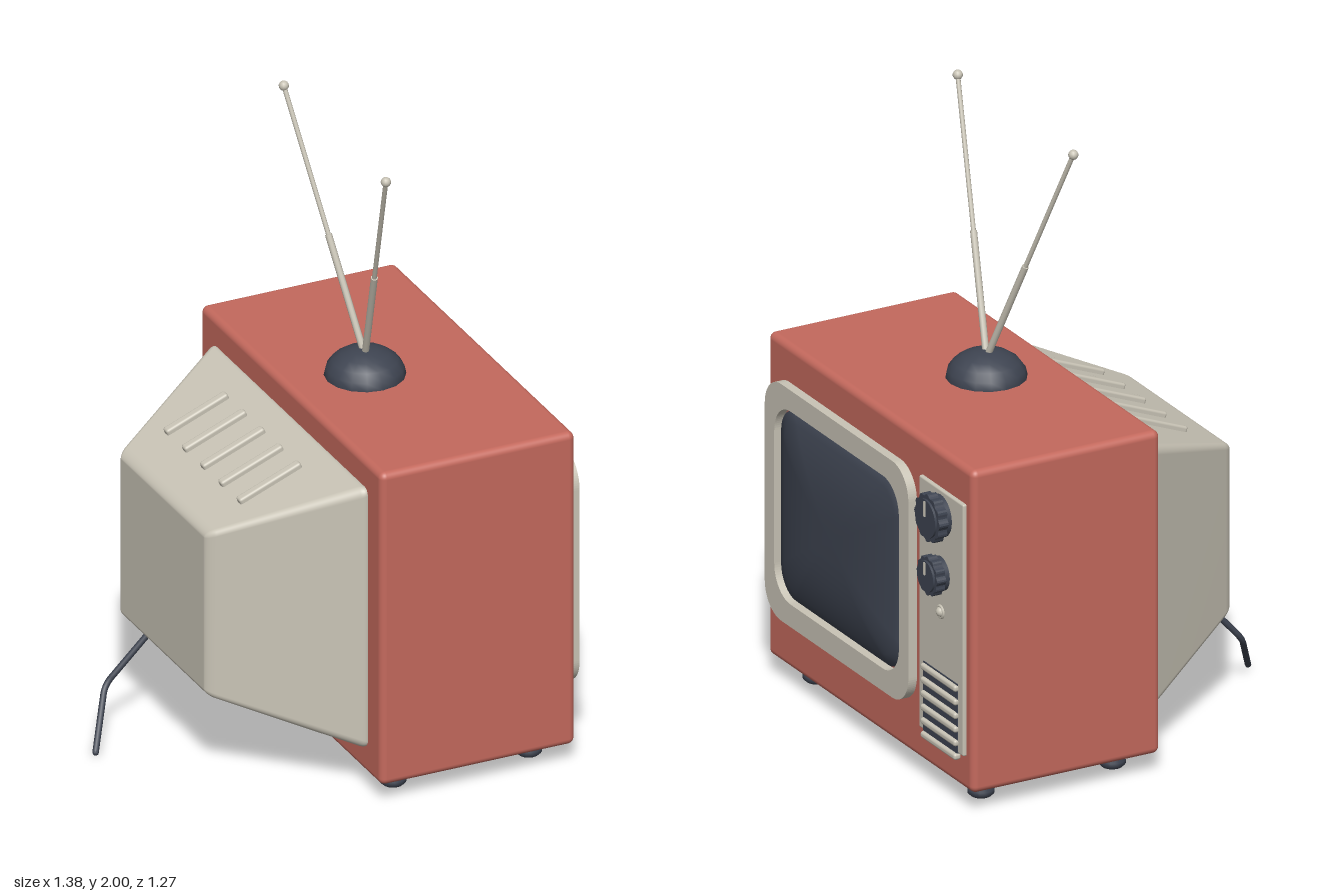
import * as THREE from 'three';
import { mergeVertices } from 'three/addons/utils/BufferGeometryUtils.js';
import { RoundedBoxGeometry } from 'three/addons/geometries/RoundedBoxGeometry.js';

const material = (name, color) => {
  const m = new THREE.MeshStandardMaterial({ color });
  m.name = name;
  return m;
};

// Rounded rectangle outline centred on (cx, cy)
function roundedRect(cx, cy, w, h, r, Type = THREE.Shape) {
  const s = new Type(), x = w / 2 - r, y = h / 2 - r;
  s.absarc(cx + x, cy + y, r, 0, Math.PI / 2);
  s.absarc(cx - x, cy + y, r, Math.PI / 2, Math.PI);
  s.absarc(cx - x, cy - y, r, Math.PI, Math.PI * 1.5);
  s.absarc(cx + x, cy - y, r, Math.PI * 1.5, Math.PI * 2);
  s.closePath();
  return s;
}

// Bulging glass: concentric rounded loops that rise towards the middle
function screenGeometry(cx, cy, w, h, r) {
  const outline = roundedRect(0, 0, w, h, r).getPoints(8);
  const n = outline.length, rings = 10, pos = [], idx = [];
  for (let k = 0; k <= rings + 1; k++) {
    const s = Math.min(k / rings, 1);
    const z = k > rings ? 0.6 : 0.625 + 0.043 * (1 - s ** 3);
    for (const p of outline) pos.push(cx + p.x * s, cy + p.y * s, z);
  }
  for (let k = 0; k <= rings; k++) {
    for (let i = 0; i < n; i++) {
      const j = (i + 1) % n, a = k * n + i, b = k * n + j, c = a + n, d = b + n;
      idx.push(a, c, d, a, d, b);
    }
  }
  const g = new THREE.BufferGeometry();
  g.setAttribute('position', new THREE.Float32BufferAttribute(pos, 3));
  g.setIndex(idx);
  const merged = mergeVertices(g);
  merged.computeVertexNormals();
  return merged;
}

// Back housing: rounded box tapered towards the rear
function housingGeometry() {
  let g = new RoundedBoxGeometry(0.445, 0.91, 1.11, 4, 0.03);
  const p = g.attributes.position;
  for (let i = 0; i < p.count; i++) {
    const t = (0.2225 - p.getX(i)) / 0.445;
    p.setY(i, p.getY(i) * (1 - 0.39 * t));
    p.setZ(i, p.getZ(i) * (1 - 0.45 * t));
  }
  g.deleteAttribute('normal');
  g.deleteAttribute('uv');
  g = mergeVertices(g);
  g.computeVertexNormals();
  return g;
}

export function createModel() {
  const root = new THREE.Group();
  root.name = 'television';
  const red = material('cabinetRed', 0xc4695d);
  const cream = material('cream', 0xc9c4b6);
  const dark = material('charcoal', 0x3e4451);

  const add = (parent, name, geo, mat, x = 0, y = 0, z = 0) => {
    const m = new THREE.Mesh(geo, mat);
    m.name = name;
    m.position.set(x, y, z);
    parent.add(m);
    return m;
  };
  const rod = (parent, name, a, b, r, mat) => {
    const dir = b.clone().sub(a);
    const m = add(parent, name, new THREE.CylinderGeometry(r, r, dir.length(), 10), mat);
    m.position.copy(a).addScaledVector(dir, 0.5);
    m.quaternion.setFromUnitVectors(new THREE.Vector3(0, 1, 0), dir.normalize());
    return m;
  };

  // Cabinet and rear housing
  add(root, 'cabinet', new RoundedBoxGeometry(0.66, 1.07, 1.27, 4, 0.022), red, 0.285, 0.605, 0);
  add(root, 'backHousing', housingGeometry(), cream, -0.2575, 0.605, 0);

  // Raised vents along the sloping top of the housing
  for (let i = -2; i <= 2; i++) {
    const v = add(root, 'vent', new RoundedBoxGeometry(0.225, 0.03, 0.03, 2, 0.008), cream,
      -0.24, 0.981, i * 0.128);
    v.rotation.z = Math.atan(0.4);
  }

  // Feet
  const foot = new THREE.LatheGeometry(
    [[0, 0], [0.032, 0], [0.042, 0.01], [0.042, 0.022], [0.028, 0.064], [0.028, 0.08]]
      .map(([x, y]) => new THREE.Vector2(x, y)), 20);
  for (const x of [0.055, 0.515]) {
    for (const z of [-0.51, 0.51]) add(root, 'foot', foot, dark, x, 0.005, z);
  }

  // Power cord
  const cord = new THREE.CurvePath();
  const V = (x, y, z) => new THREE.Vector3(x, y, z);
  cord.add(new THREE.LineCurve3(V(-0.42, 0.36, -0.15), V(-0.565, 0.195, -0.173)));
  cord.add(new THREE.QuadraticBezierCurve3(V(-0.565, 0.195, -0.173), V(-0.588, 0.168, -0.18), V(-0.602, 0.145, -0.16)));
  cord.add(new THREE.LineCurve3(V(-0.602, 0.145, -0.16), V(-0.682, 0.015, -0.05)));
  add(root, 'powerCord', new THREE.TubeGeometry(cord, 40, 0.01, 8), dark);
  add(root, 'cordEnd', new THREE.SphereGeometry(0.01, 8, 6), dark, -0.682, 0.015, -0.05);

  // Antenna: dome base and two telescopic rods
  const dome = add(root, 'antennaBase',
    new THREE.SphereGeometry(0.127, 16, 5, 0, Math.PI * 2, 0, Math.PI / 2), dark, 0.207, 1.138, 0);
  dome.scale.y = 0.7;
  for (const side of [-1, 1]) {
    const a = V(0.207, 1.2, 0), b = V(0.105, 1.985, side * 0.358);
    const mid = a.clone().lerp(b, 0.45);
    rod(root, 'antennaLower', a, mid, 0.011, cream);
    rod(root, 'antennaUpper', mid, b, 0.0075, cream);
    add(root, 'antennaTip', new THREE.SphereGeometry(0.016, 12, 8), cream, b.x, b.y, b.z);
  }

  // Screen side, drawn flat and turned to face +x
  const face = new THREE.Group();
  face.name = 'screenSide';
  face.rotation.y = Math.PI / 2;
  root.add(face);

  const frame = roundedRect(-0.155, 0.6275, 0.89, 0.785, 0.1);
  frame.holes.push(roundedRect(-0.155, 0.63, 0.772, 0.64, 0.1, THREE.Path));
  add(face, 'screenFrame', new THREE.ExtrudeGeometry(frame,
    { depth: 0.035, bevelEnabled: false, curveSegments: 10 }), cream, 0, 0, 0.61);
  add(face, 'screen', screenGeometry(-0.155, 0.63, 0.757, 0.625, 0.093), dark);

  // Control panel
  add(face, 'controlPanel', new RoundedBoxGeometry(0.275, 0.835, 0.03, 2, 0.006), cream, 0.46, 0.6025, 0.612);

  // Fluted knobs with pointers
  for (const [y, r] of [[0.937, 0.08], [0.745, 0.065]]) {
    const knob = new THREE.Group();
    knob.name = 'knob';
    knob.position.set(0.46, y, 0);
    face.add(knob);
    const disc = (name, rad, z0, z1) => {
      add(knob, name, new THREE.CylinderGeometry(rad, rad, z1 - z0, 28), dark, 0, 0, (z0 + z1) / 2)
        .rotation.x = Math.PI / 2;
    };
    disc('knobBase', r * 0.85, 0.62, 0.648);
    const pts = [];
    for (let i = 0; i < 72; i++) {
      const a = i / 72 * Math.PI * 2, q = r * (0.94 + 0.05 * Math.cos(a * 12));
      pts.push(new THREE.Vector2(q * Math.cos(a), q * Math.sin(a)));
    }
    add(knob, 'knobGrip', new THREE.ExtrudeGeometry(new THREE.Shape(pts),
      { depth: 0.032, bevelEnabled: false }), dark, 0, 0, 0.644);
    disc('knobCap', r * 0.78, 0.67, 0.683);
    add(knob, 'knobPointer', new THREE.BoxGeometry(0.008, r * 0.62, 0.006), cream, 0, r * 0.4, 0.684);
  }

  // Push button
  add(face, 'buttonRing', new THREE.TorusGeometry(0.018, 0.005, 8, 20), cream, 0.46, 0.617, 0.628);
  add(face, 'button', new THREE.SphereGeometry(0.017, 16, 10), cream, 0.46, 0.617, 0.626);

  // Speaker grille
  add(face, 'grilleBacking', new THREE.BoxGeometry(0.21, 0.23, 0.01), dark, 0.46, 0.3, 0.625);
  for (let i = 0; i < 6; i++) {
    add(face, 'grilleSlat', new RoundedBoxGeometry(0.216, 0.022, 0.026, 2, 0.009), cream,
      0.46, 0.174 + i * 0.0452, 0.628);
  }
  return root;
}
